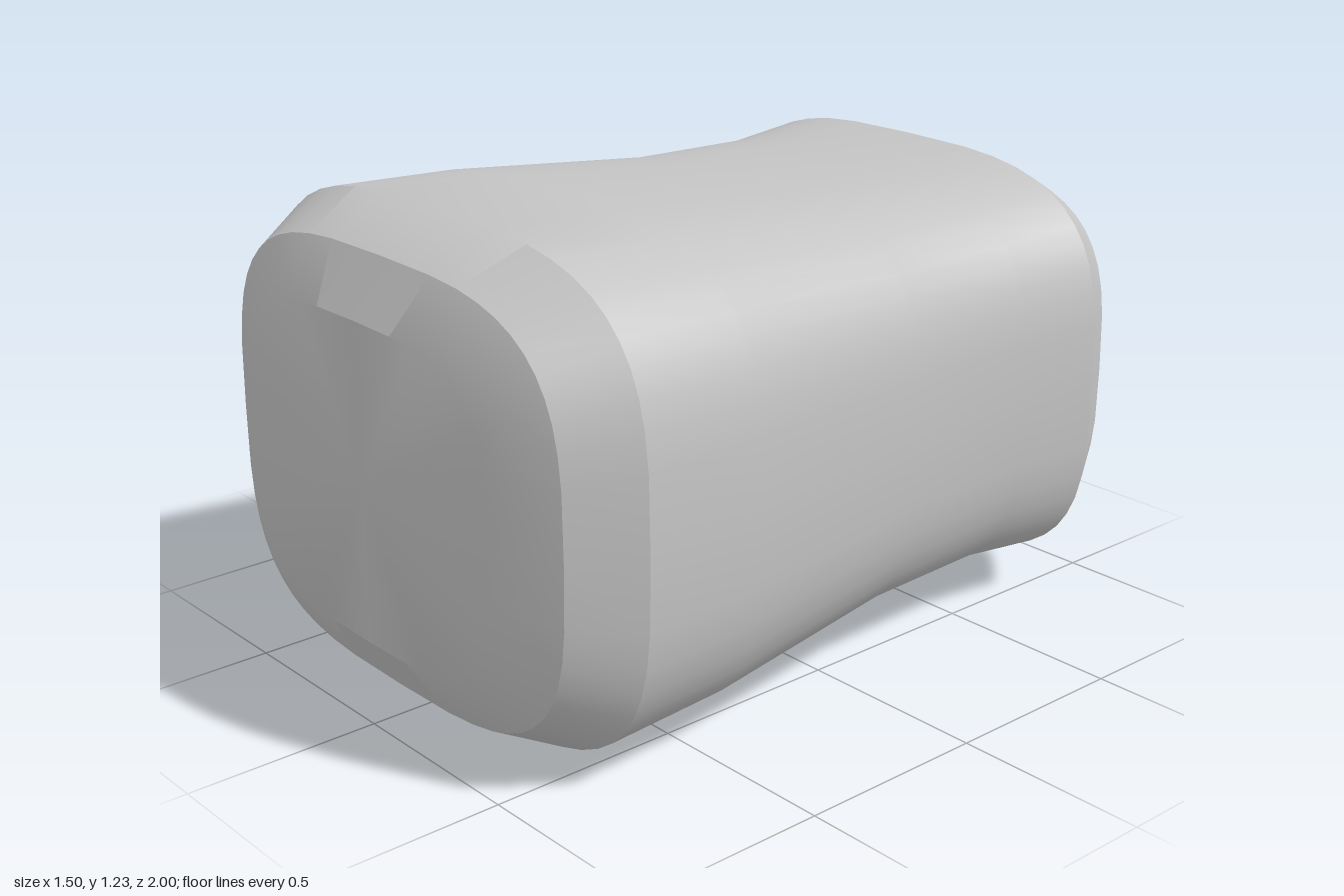
import * as THREE from 'three';
import { toCreasedNormals } from 'three/addons/utils/BufferGeometryUtils.js';

const SEGMENTS = 48;
const EXPONENT = 3.4; // squareness of the rounded cross-section
const CENTER_Y = 0.617;

// Cross-sections from front to back: z, half width, half height
const SECTIONS = [
  [1, 0.49, 0.4],
  [0.92, 0.655, 0.537],
  [0.76, 0.75, 0.617],
  [0.42, 0.735, 0.603],
  [-0.16, 0.666, 0.547],
  [-0.56, 0.655, 0.539],
  [-0.8, 0.68, 0.559],
  [-0.94, 0.593, 0.487],
  [-1, 0.433, 0.355],
];

const superPower = (v) => Math.sign(v) * Math.abs(v) ** (2 / EXPONENT);

function loft(sections) {
  const points = [];
  const faces = [];
  for (const [z, w, h] of sections) {
    for (let j = 0; j < SEGMENTS; j++) {
      const a = (j / SEGMENTS) * Math.PI * 2;
      points.push(w * superPower(Math.cos(a)), CENTER_Y + h * superPower(Math.sin(a)), z);
    }
  }
  const last = sections.length - 1;
  const front = sections.length * SEGMENTS;
  points.push(0, CENTER_Y, sections[0][0], 0, CENTER_Y, sections[last][0]);

  for (let j = 0; j < SEGMENTS; j++) {
    const k = (j + 1) % SEGMENTS;
    // Side walls
    for (let i = 0; i < last; i++) {
      const a = i * SEGMENTS + j;
      const b = i * SEGMENTS + k;
      const c = a + SEGMENTS;
      const d = b + SEGMENTS;
      faces.push(a, c, b, b, c, d);
    }
    // Front and back caps
    faces.push(front, j, k);
    faces.push(front + 1, last * SEGMENTS + k, last * SEGMENTS + j);
  }
  const geometry = new THREE.BufferGeometry();
  geometry.setAttribute('position', new THREE.Float32BufferAttribute(points, 3));
  geometry.setIndex(faces);
  return toCreasedNormals(geometry, Math.PI / 6);
}

export function createModel() {
  const grey = new THREE.MeshStandardMaterial({ color: 0xc4c4c4 });
  grey.name = 'light grey';

  // Waisted block with bevelled ends
  const body = new THREE.Mesh(loft(SECTIONS), grey);
  body.name = 'body';

  const model = new THREE.Group();
  model.name = 'waistedBlock';
  model.add(body);
  return model;
}
